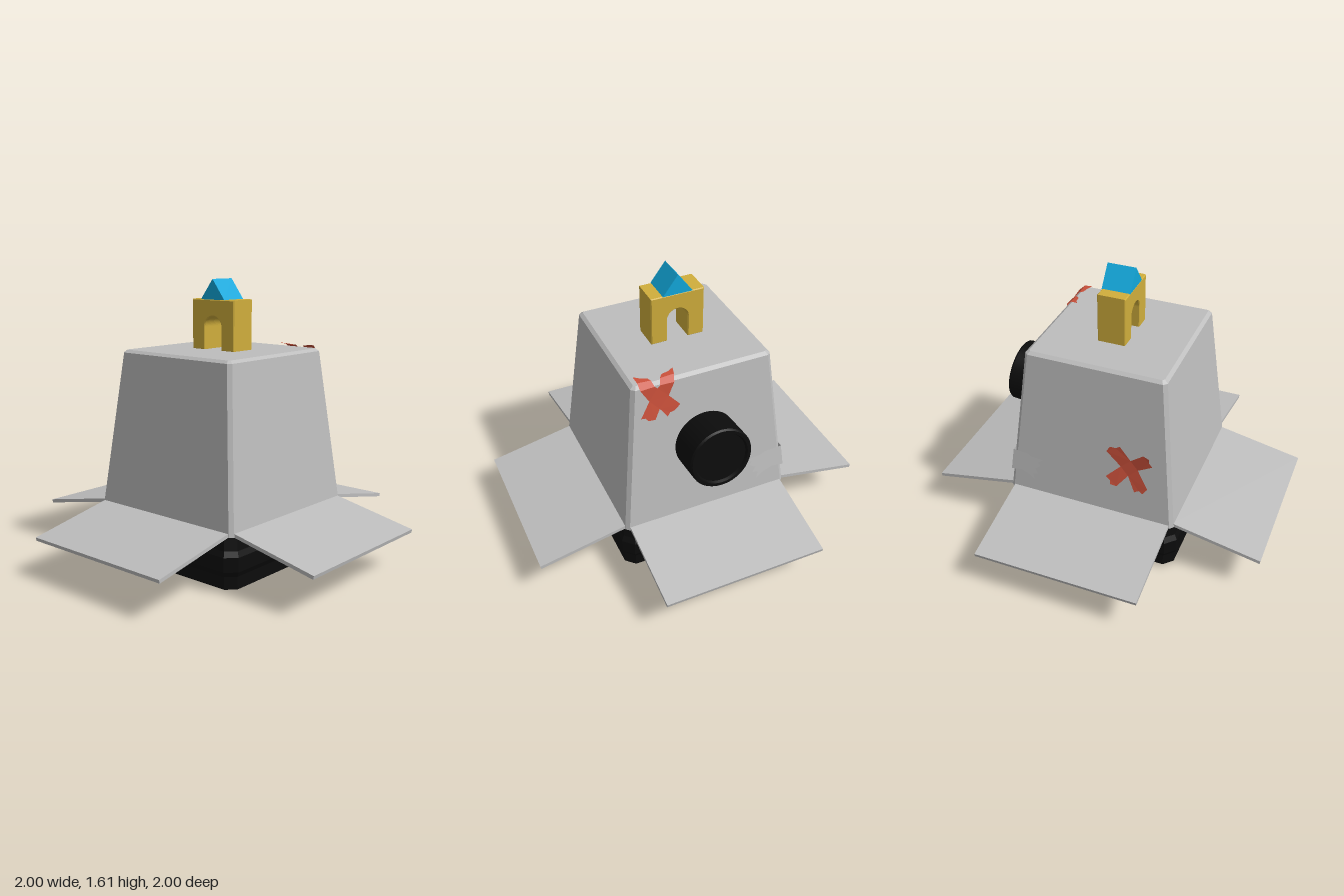
import * as THREE from 'three';
import { toCreasedNormals } from 'three/addons/utils/BufferGeometryUtils.js';

const material = (name, color, side = THREE.FrontSide) => {
  const m = new THREE.MeshStandardMaterial({ color, side });
  m.name = name;
  return m;
};

// Square loft with chamfered corners; levels are [y, halfWidth, chamfer], bottom to top.
function chamferedLoft(levels) {
  const pos = [];
  const rings = levels.map(([y, h, c]) => {
    const k = h - c;
    return [[h, k], [k, h], [-k, h], [-h, k], [-h, -k], [-k, -h], [k, -h], [h, -k]]
      .map(([x, z]) => [x, y, z]);
  });
  const tri = (a, b, c) => pos.push(...a, ...b, ...c);
  for (let r = 0; r < rings.length - 1; r++) {
    for (let i = 0; i < 8; i++) {
      const j = (i + 1) % 8, lo = rings[r], hi = rings[r + 1];
      tri(lo[i], hi[i], hi[j]);
      tri(lo[i], hi[j], lo[j]);
    }
  }
  const bottom = rings[0], top = rings[rings.length - 1];
  for (let i = 1; i < 7; i++) {
    tri(bottom[0], bottom[i], bottom[i + 1]);
    tri(top[0], top[i + 1], top[i]);
  }
  const g = new THREE.BufferGeometry();
  g.setAttribute('position', new THREE.Float32BufferAttribute(pos, 3));
  g.computeVertexNormals();
  return g;
}

// Half width of the tapered body at height y.
const EDGE = 1.195;
const halfWidth = (y) => 0.5 - (y - 0.31) * 0.1073;

// Thin tape on a body face: u runs right and v up seen from outside;
// v beyond the top edge continues over the bevel and onto the top.
function tapeGeometry(points, centre, curl, face) {
  const g = new THREE.ShapeGeometry(new THREE.Shape(points.map(([u, v]) => new THREE.Vector2(u, v))));
  const p = g.attributes.position;
  for (let i = 0; i < p.count; i++) {
    const u = p.getX(i), v = p.getY(i);
    const lift = 0.005 + curl * ((u - centre[0]) ** 2 + (v - centre[1]) ** 2);
    let out, y;
    if (v <= EDGE + 1e-6) {
      out = halfWidth(v) + lift;
      y = v;
    } else {
      out = 0.385 - (v - EDGE - 0.025);
      y = 1.21 + lift;
    }
    if (face === 'side') p.setXYZ(i, out, y, -u);
    else p.setXYZ(i, -u, y, -out);
  }
  const flat = g.toNonIndexed();
  flat.computeVertexNormals();
  return flat;
}

export function createModel() {
  const model = new THREE.Group();
  const grey = material('grey card', 0xbdbdbd);
  const black = material('black', 0x0c0c0c);
  const yellow = material('yellow block', 0xd0ae3c);
  const blue = material('blue block', 0x11a9dc);
  const red = material('red tape', 0xc9503a, THREE.DoubleSide);
  const greyTape = material('grey tape', 0xc0c0c0, THREE.DoubleSide);

  const add = (name, geometry, mat, parent = model) => {
    const m = new THREE.Mesh(geometry, mat);
    m.name = name;
    parent.add(m);
    return m;
  };

  // Tapered box body and the black base below it
  add('body', chamferedLoft([[0.31, 0.5, 0.02], [EDGE, 0.405, 0.02], [1.21, 0.385, 0.01]]), grey);
  add('base', chamferedLoft([
    [0, 0.45, 0.04], [0.02, 0.5, 0.05], [0.09, 0.5, 0.05], [0.12, 0.515, 0.055],
    [0.2, 0.515, 0.055], [0.23, 0.5, 0.05], [0.312, 0.49, 0.05],
  ]), black);

  // Four drooping flaps
  const flaps = new THREE.Group();
  flaps.name = 'flaps';
  model.add(flaps);
  for (let i = 0; i < 4; i++) {
    const pivot = new THREE.Group();
    pivot.name = 'flapPivot';
    pivot.rotation.y = (i * Math.PI) / 2;
    const flap = add('flap', new THREE.BoxGeometry(0.52, 0.02, 0.95), grey, pivot);
    flap.position.set(0.743, 0.27, 0);
    flap.rotation.z = -0.2;
    flaps.add(pivot);
  }

  // Round knob, square to the sloping side
  const knobProfile = [[0, -0.02], [0.18, -0.02], [0.18, 0.19], [0.172, 0.2], [0.155, 0.2], [0.148, 0.185], [0, 0.185]]
    .map(([r, y]) => new THREE.Vector2(r, y));
  const knob = add('knob', toCreasedNormals(new THREE.LatheGeometry(knobProfile, 40), 0.5), black);
  knob.position.set(halfWidth(0.77), 0.77, 0);
  knob.rotation.z = -Math.PI / 2 + 0.107;

  // Arch block with a prism roof
  const arch = new THREE.Shape();
  arch.moveTo(-0.155, 1.208);
  arch.lineTo(-0.062, 1.208);
  arch.lineTo(-0.062, 1.338);
  arch.absarc(0, 1.338, 0.062, Math.PI, 0, true);
  arch.lineTo(0.062, 1.208);
  arch.lineTo(0.155, 1.208);
  arch.lineTo(0.155, 1.494);
  arch.lineTo(-0.155, 1.494);
  const archGeometry = new THREE.ExtrudeGeometry(arch, {
    depth: 0.152, curveSegments: 14, bevelEnabled: true,
    bevelThickness: 0.005, bevelSize: 0.005, bevelOffset: -0.005, bevelSegments: 1,
  });
  add('archBlock', archGeometry.translate(0, 0, -0.076).rotateY(Math.PI / 2), yellow);

  const gable = new THREE.Shape([[-0.087, 1.493], [0.087, 1.493], [0, 1.608]]
    .map(([z, y]) => new THREE.Vector2(z, y)));
  add('roofBlock', new THREE.ExtrudeGeometry(gable, { depth: 0.164, bevelEnabled: false })
    .translate(0, 0, -0.082).rotateY(Math.PI / 2), blue);

  // Red tape cross folded over the top edge of the side
  const sideCross = new THREE.Group();
  sideCross.name = 'sideTapeCross';
  model.add(sideCross);
  const B = EDGE + 0.025;
  [
    [[-0.37, 1.03], [-0.345, 1.025], [-0.33, 1.005], [-0.29, 1.0], [-0.26, 1.055], [-0.22, 1.0],
      [-0.205, 1.02], [-0.18, 1.025], [-0.145, 1.055], [-0.205, 1.12], [-0.172, EDGE], [-0.25, EDGE],
      [-0.265, 1.18], [-0.28, EDGE], [-0.362, EDGE], [-0.315, 1.115]],
    [[-0.362, EDGE], [-0.28, EDGE], [-0.29, B], [-0.366, B]],
    [[-0.25, EDGE], [-0.172, EDGE], [-0.16, B], [-0.24, B]],
    [[-0.366, B], [-0.29, B], [-0.3, B + 0.02], [-0.335, B + 0.03], [-0.37, B + 0.05]],
    [[-0.24, B], [-0.16, B], [-0.148, B + 0.045], [-0.18, B + 0.03], [-0.22, B + 0.025]],
  ].forEach((pts) => add('tapePiece', tapeGeometry(pts, [-0.26, 1.13], 0.5, 'side'), red, sideCross));

  // Red tape cross on the back
  add('backTapeCross', tapeGeometry([
    [0.1, 0.57], [0.125, 0.55], [0.13, 0.525], [0.165, 0.52], [0.225, 0.595], [0.27, 0.51],
    [0.295, 0.525], [0.32, 0.515], [0.345, 0.55], [0.28, 0.645], [0.365, 0.7], [0.345, 0.72],
    [0.345, 0.745], [0.31, 0.755], [0.235, 0.695], [0.175, 0.78], [0.15, 0.765], [0.12, 0.77],
    [0.1, 0.735], [0.18, 0.645],
  ], [0.23, 0.645], 0.8, 'back'), red);

  // Torn grey tape wrapped round the back corner
  const cornerTape = new THREE.Group();
  cornerTape.name = 'cornerTape';
  model.add(cornerTape);
  const corner = (y) => [halfWidth(y) + 0.005, y];
  const torn = [[0.25, 0.55], [0.285, 0.525], [0.27, 0.505], [0.31, 0.48], [0.29, 0.45], [0.325, 0.44],
    [0.315, 0.4], [0.36, 0.43], [0.42, 0.45], corner(0.44), corner(0.575), [0.37, 0.57], [0.34, 0.555]];
  add('tapeSide', tapeGeometry(torn, [0.4, 0.5], 0, 'side'), greyTape, cornerTape);
  add('tapeBack', tapeGeometry(torn.map(([u, v], i) => [i === 9 || i === 10 ? -u : -u - 0.04 * (0.46 - Math.min(u, 0.46)) / 0.2, v]),
    [-0.4, 0.5], 0, 'back'), greyTape, cornerTape);

  return model;
}
